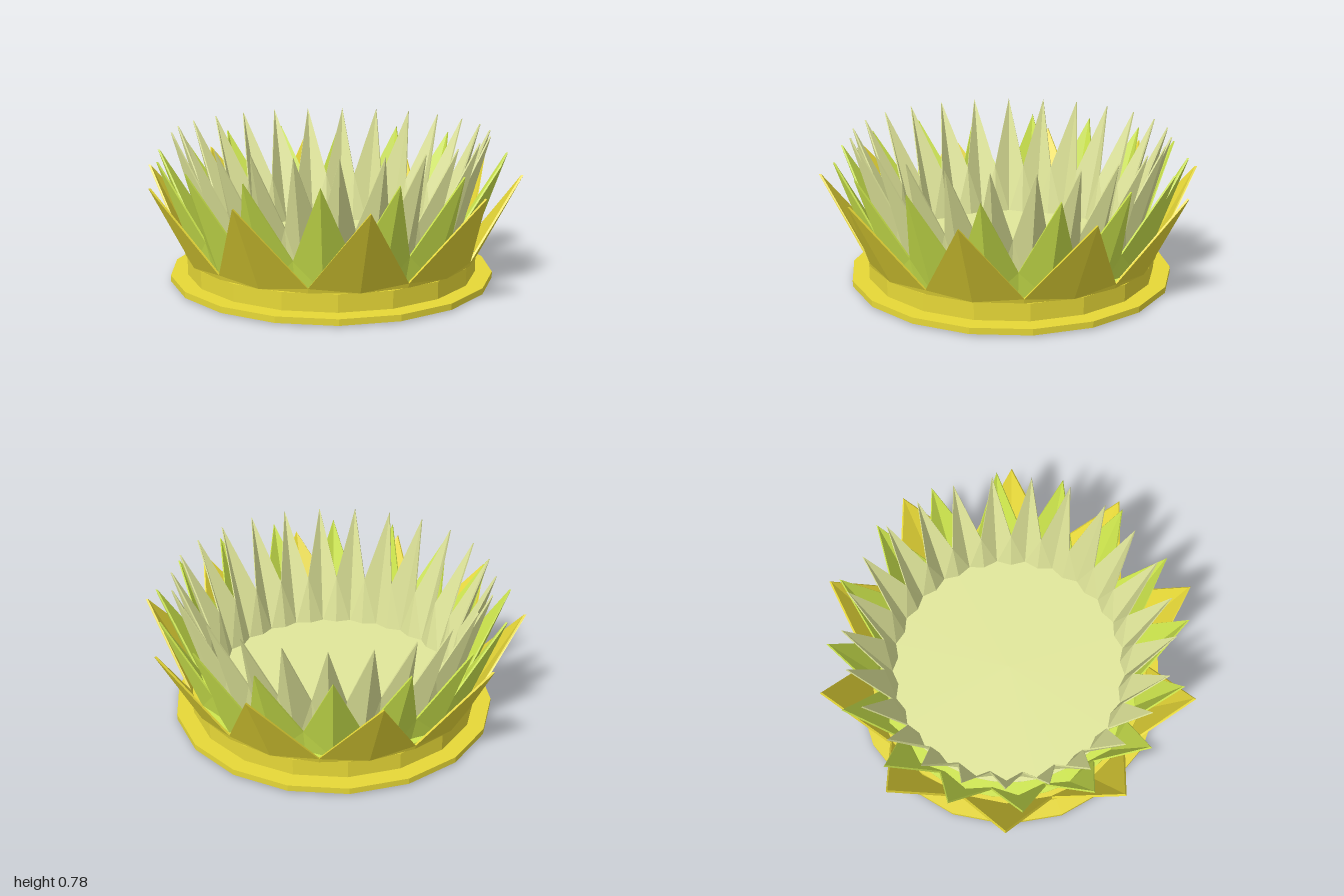
import * as THREE from 'three';

const rad = THREE.MathUtils.degToRad;
const material = (name, color) => {
  const m = new THREE.MeshStandardMaterial({ color, flatShading: true });
  m.name = name;
  return m;
};

// Closed, pleated ring of pointed spikes. Each column is a cross-section:
// outer foot, outer top, inner top, inner foot; [radius, height] pairs.
function spikeRing({ count, phase, ridgeFoot, tip, valleyFoot, valleyTop, thick }) {
  const columns = count * 2;
  const positions = [];
  const section = (j) => {
    const isRidge = j % 2 === 0;
    const [low, high] = isRidge ? [ridgeFoot, tip] : [valleyFoot, valleyTop];
    const angle = rad(phase + (j * 180) / count);
    return [
      [low[0], low[1]], [high[0], high[1]],
      [high[0] - thick, high[1]], [low[0] - thick, low[1]],
    ].map(([r, y]) => [r * Math.sin(angle), y, r * Math.cos(angle)]);
  };
  for (let j = 0; j < columns; j++) {
    const s = section(j);
    const t = section(j + 1);
    for (let i = 0; i < 4; i++) {
      const k = (i + 1) % 4;
      const [a, b, c, d] = [s[i], t[i], t[k], s[k]];
      // keep the fold running from each tip to its foot
      const useAC = (j % 2 === 0) !== (i === 2);
      const corners = useAC ? [a, b, c, a, c, d] : [a, b, d, b, c, d];
      positions.push(...corners.flat());
    }
  }
  const g = new THREE.BufferGeometry();
  g.setAttribute('position', new THREE.Float32BufferAttribute(positions, 3));
  g.computeVertexNormals();
  return g;
}

export function createModel() {
  const group = new THREE.Group();
  const gold = material('gold', 0xebdc38);
  const green = material('leaf green', 0xd0e94e);
  const khaki = material('pale khaki', 0xe2e89b);

  const add = (name, geometry, mat, y = 0, turn = 0) => {
    const mesh = new THREE.Mesh(geometry, mat);
    mesh.name = name;
    mesh.position.y = y;
    mesh.rotation.y = rad(turn);
    group.add(mesh);
  };
  const disc = (radius, height, sides) =>
    new THREE.CylinderGeometry(radius, radius, height, sides);

  // Base: foot plate, flange and collar
  add('footPlate', disc(0.63, 0.008, 48), khaki, 0.004);
  add('flange', disc(0.857, 0.032, 18), gold, 0.024, -6);
  add('collar', disc(0.768, 0.1, 18), gold, 0.08, -6);

  // Raised floor inside the spikes, with a green border
  add('floorBorder', disc(0.735, 0.006, 32), green, 0.132, -6.3);
  add('floor', disc(0.655, 0.008, 50), khaki, 0.134, -2.5);

  // Three nested rings of spikes
  add('outerSpikes', spikeRing({
    count: 10, phase: -2.3, thick: 0.012,
    ridgeFoot: [0.78, 0.135], tip: [1.0, 0.567],
    valleyFoot: [0.775, 0.135], valleyTop: [0.781, 0.158],
  }), gold);
  add('middleSpikes', spikeRing({
    count: 16, phase: -6.3, thick: 0.01,
    ridgeFoot: [0.735, 0.13], tip: [0.922, 0.667],
    valleyFoot: [0.695, 0.13], valleyTop: [0.73, 0.27],
  }), green);
  add('innerSpikes', spikeRing({
    count: 25, phase: -2.5, thick: 0.008,
    ridgeFoot: [0.652, 0.13], tip: [0.832, 0.78],
    valleyFoot: [0.625, 0.13], valleyTop: [0.672, 0.41],
  }), khaki);

  return group;
}
